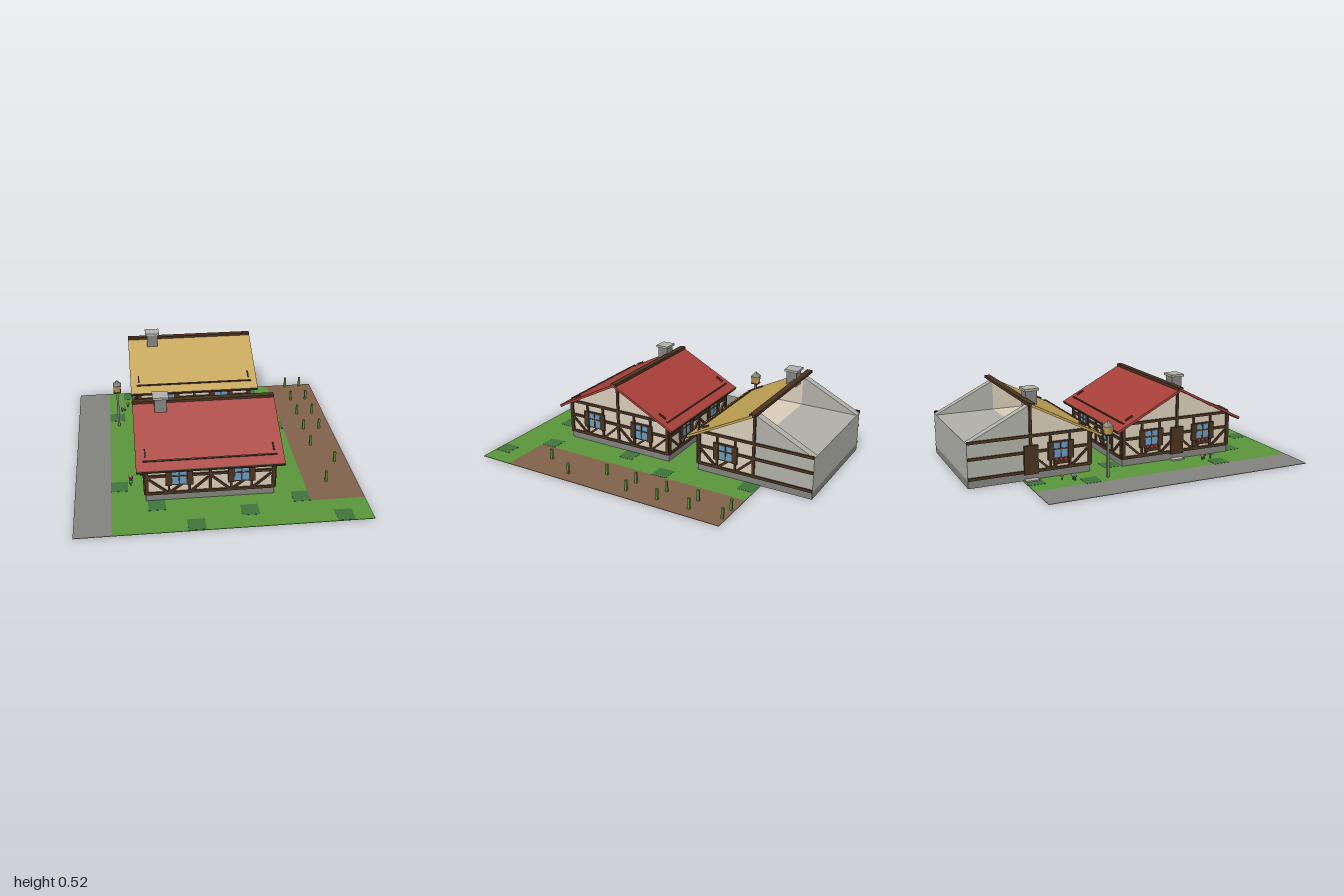
import * as THREE from 'three';

const paint = (name, hex) => {
  const m = new THREE.MeshStandardMaterial({ color: hex });
  m.name = name;
  return m;
};
const M = {
  plaster: paint('plaster', 0xd8ccb8), timber: paint('timber', 0x4a3320),
  red: paint('redRoof', 0xa8403a), gold: paint('goldRoof', 0xc2a355),
  paleStone: paint('paleStone', 0xb0b0a8), stone: paint('stone', 0x82827e),
  grass: paint('grass', 0x5a953b), moss: paint('darkGrass', 0x40733a),
  soil: paint('soil', 0x80624a), blue: paint('blueGlass', 0x679abf),
};

function add(parent, name, geometry, material, x = 0, y = 0, z = 0) {
  const mesh = new THREE.Mesh(geometry, material);
  mesh.name = name;
  mesh.position.set(x, y, z);
  parent.add(mesh);
  return mesh;
}
const box = (parent, name, mat, w, h, d, x, y, z) =>
  add(parent, name, new THREE.BoxGeometry(w, h, d), mat, x, y, z);

function group(parent, name, x = 0, y = 0, z = 0, turn = 0) {
  const g = new THREE.Group();
  g.name = name;
  g.position.set(x, y, z);
  g.rotation.y = turn;
  parent.add(g);
  return g;
}

const HALF_X = 0.375, HALF_Z = 0.37, EAVE = 0.26, APEX = 0.445, PLINTH = 0.045;

// Timber between two points on a wall
function beam(wall, u1, v1, u2, v2, width = 0.016) {
  const b = box(wall, 'timberBeam', M.timber, Math.hypot(u2 - u1, v2 - v1), width, 0.014,
    (u1 + u2) / 2, (v1 + v2) / 2, 0.003);
  b.rotation.z = Math.atan2(v2 - v1, u2 - u1);
}

// Window with glazing bars and open shutters
function windowUnit(wall, u) {
  const w = group(wall, 'window', u, 0.163, 0);
  box(w, 'windowFrame', M.timber, 0.1, 0.108, 0.016, 0, 0, 0.004);
  box(w, 'glass', M.blue, 0.082, 0.09, 0.004, 0, 0, 0.012);
  box(w, 'mullion', M.timber, 0.008, 0.09, 0.005, 0, 0, 0.014);
  box(w, 'glazingBar', M.timber, 0.082, 0.008, 0.005, 0, 0.008, 0.014);
  for (const s of [-1, 1]) box(w, 'shutter', M.timber, 0.034, 0.108, 0.012, s * 0.062, 0, 0.012);
}

// Half-timbered wall; sides lists which halves carry windows and braces
function facade(wall, half, sides, top) {
  const left = sides.includes(-1) ? -half : 0, right = sides.includes(1) ? half : 0;
  for (const v of [0.055, 0.17, top]) beam(wall, left, v, right, v);
  beam(wall, 0, 0.05, 0, top);
  for (const s of sides) {
    beam(wall, s * (half - 0.007), 0.05, s * (half - 0.007), top, 0.02);
    for (const u of [0.12, 0.24]) beam(wall, s * u, 0.05, s * u, top, 0.013);
    beam(wall, s * 0.01, 0.15, s * 0.11, 0.06, 0.013);
    beam(wall, s * 0.25, 0.06, s * (half - 0.02), 0.15, 0.013);
    beam(wall, -0.05 + s * 0.18, 0.06, 0.04 + s * 0.18, 0.13, 0.013);
    windowUnit(wall, s * 0.18);
  }
}

// Door, step and flower boxes of the entrance wall
function entrance(wall, sides) {
  box(wall, 'door', M.timber, 0.085, 0.17, 0.02, 0, 0.125, 0.006);
  box(wall, 'doorStep', M.paleStone, 0.08, 0.012, 0.04, 0, 0.006, 0.02);
  box(wall, 'doorHandle', M.gold, 0.006, 0.006, 0.008, 0.028, 0.12, 0.02);
  for (const s of sides) {
    box(wall, 'flowerBox', M.timber, 0.09, 0.02, 0.022, s * 0.18, 0.094, 0.015);
    for (const i of [-1, 0, 1])
      box(wall, 'boxFlower', M.red, 0.018, 0.016, 0.014, s * 0.18 + i * 0.028, 0.112, 0.016);
  }
}

// One roof slope running down from the ridge towards local +z
function roofSlope(house, mat, turn) {
  const side = group(house, 'roofSide', 0, 0, 0, turn);
  const slope = group(side, 'roofSlope', 0, 0.458, 0);
  const length = Math.hypot(0.425, 0.22);
  slope.rotation.x = Math.atan2(0.22, 0.425);
  box(slope, 'roofPanel', mat, 0.85, 0.014, length, 0, -0.007, length / 2);
  box(slope, 'eaveBoard', M.timber, 0.85, 0.018, 0.008, 0, -0.008, length);
  box(slope, 'snowGuard', M.timber, 0.74, 0.008, 0.008, 0, 0.008, 0.415);
  for (const s of [-1, 1])
    box(slope, 'snowGuardEnd', M.timber, 0.008, 0.01, 0.05, s * 0.37, 0.007, 0.362);
}

// Half of a gable wall, 0.05 thick, on the front or back side of the ridge
function gableHalf(house, mat, x, s) {
  const shape = new THREE.Shape();
  shape.moveTo(0, EAVE - 0.005);
  shape.lineTo(HALF_Z, EAVE - 0.005);
  shape.lineTo(HALF_Z, EAVE);
  shape.lineTo(0, APEX);
  const geo = new THREE.ExtrudeGeometry(shape, { depth: 0.05, bevelEnabled: false });
  geo.translate(0, 0, -0.025);
  geo.rotateY(-s * Math.PI / 2);
  add(house, 'gableWall', geo, mat, x, 0, 0);
}

function cottage(root, name, z, roofMat, finished) {
  const house = group(root, name, -0.055, 0, z);
  box(house, 'plinth', M.stone, 0.75, PLINTH, 0.74, 0, PLINTH / 2 + 0.0015, 0);
  for (const s of [1, -1]) {
    const mat = s > 0 || finished ? M.plaster : M.paleStone;
    box(house, 'wallBlock', mat, 0.75, EAVE - PLINTH, HALF_Z, 0, (EAVE + PLINTH) / 2, s * HALF_Z / 2);
    for (const e of [-1, 1]) gableHalf(house, mat, e * (HALF_X - 0.025), s);
  }

  // Timbered walls
  facade(group(house, 'frontWall', 0, 0, HALF_Z), HALF_X, [-1, 1], 0.238);
  if (finished) facade(group(house, 'backWall', 0, 0, -HALF_Z, Math.PI), HALF_X, [-1, 1], 0.238);
  for (const e of [1, -1]) {
    const wall = group(house, e > 0 ? 'leftGable' : 'rightGable', e * HALF_X, 0, 0, e * Math.PI / 2);
    const sides = finished ? [-1, 1] : [-e];
    facade(wall, HALF_Z, sides, 0.265);
    beam(wall, 0, 0.26, 0, 0.44);
    if (!finished) for (const v of [0.055, 0.17, 0.265]) beam(wall, 0, v, e * HALF_Z, v);
    if (e < 0) entrance(wall, sides);
  }

  // Roof and chimney
  roofSlope(house, roofMat, 0);
  if (finished) roofSlope(house, roofMat, Math.PI);
  box(house, 'ridgeBeam', M.timber, 0.85, 0.018, 0.036, 0, 0.456, -0.003);
  box(house, 'chimney', M.stone, 0.072, 0.1, 0.068, -0.26, 0.458, 0.04);
  box(house, 'chimneyCap', M.paleStone, 0.094, 0.014, 0.088, -0.26, 0.512, 0.04);
}

export function createModel() {
  const root = new THREE.Group();
  root.name = 'villageCorner';

  // Ground
  const strip = (name, mat, x0, x1, z0, z1, y = 0.0025, h = 0.003) =>
    box(root, name, mat, x1 - x0, h, z1 - z0, (x0 + x1) / 2, y, (z0 + z1) / 2);
  strip('road', M.stone, -0.84, -0.63, -0.68, 1);
  strip('lawn', M.grass, -0.63, 0.52, -0.68, 1);
  strip('lawnCorner', M.grass, 0.52, 0.84, 0.79, 1);
  strip('field', M.soil, 0.52, 0.84, -0.68, 0.79);
  const patches = [[-0.58, -0.32], [0.47, -0.1], [-0.58, 0.53], [0.47, 0.74], [-0.16, 0.945], [0.155, 0.84],
    [0.68, 0.945], [-0.37, -0.11], [-0.055, -0.21], [0.37, 0.21], [-0.37, 0.74], [0.37, -0.625], [-0.48, -0.625],
    [-0.27, 0.32], [0.05, 0.42], [-0.05, 0.1], [0.26, -0.42], [-0.27, -0.42]];
  for (const [x, z] of patches)
    strip('grassPatch', M.moss, x - 0.05, x + 0.05, z - 0.05, z + 0.05, 0.0025, 0.005);

  cottage(root, 'redCottage', 0.32, M.red, true);
  cottage(root, 'goldCottage', -0.63, M.gold, false);

  // Street lamp
  const lamp = group(root, 'streetLamp', -0.57, 0, -0.21);
  box(lamp, 'lampPost', M.stone, 0.014, 0.262, 0.014, 0, 0.131, 0);
  const lantern = new THREE.CylinderGeometry(0.035, 0.029, 0.052, 4).rotateY(Math.PI / 4);
  add(lamp, 'lantern', lantern, M.gold, 0, 0.286, 0);
  box(lamp, 'lanternBase', M.timber, 0.05, 0.006, 0.05, 0, 0.262, 0);
  add(lamp, 'lanternRoof', new THREE.ConeGeometry(0.037, 0.035, 4).rotateY(Math.PI / 4), M.stone, 0, 0.328, 0);

  // Crop plants
  const crops = [[0.655, -0.66], [0.76, -0.66], [0.655, -0.45], [0.76, -0.45], [0.655, -0.24], [0.76, -0.24],
    [0.655, -0.03], [0.76, -0.03], [0.655, 0.18], [0.76, 0.39], [0.655, 0.6]];
  for (const [x, z] of crops) box(root, 'cropPlant', M.grass, 0.014, 0.068, 0.014, x, 0.038, z);

  // Flowers beside the entrances
  const flowers = [[-0.545, -0.405, M.blue], [-0.528, -0.41, M.plaster], [-0.505, -0.47, M.gold],
    [-0.513, 0.52, M.blue], [-0.508, 0.475, M.red], [-0.515, 0.46, M.plaster]];
  for (const [x, z, mat] of flowers) {
    box(root, 'flowerStem', M.moss, 0.006, 0.024, 0.006, x, 0.015, z);
    box(root, 'flowerHead', mat, 0.02, 0.008, 0.018, x, 0.029, z);
  }
  return root;
}
